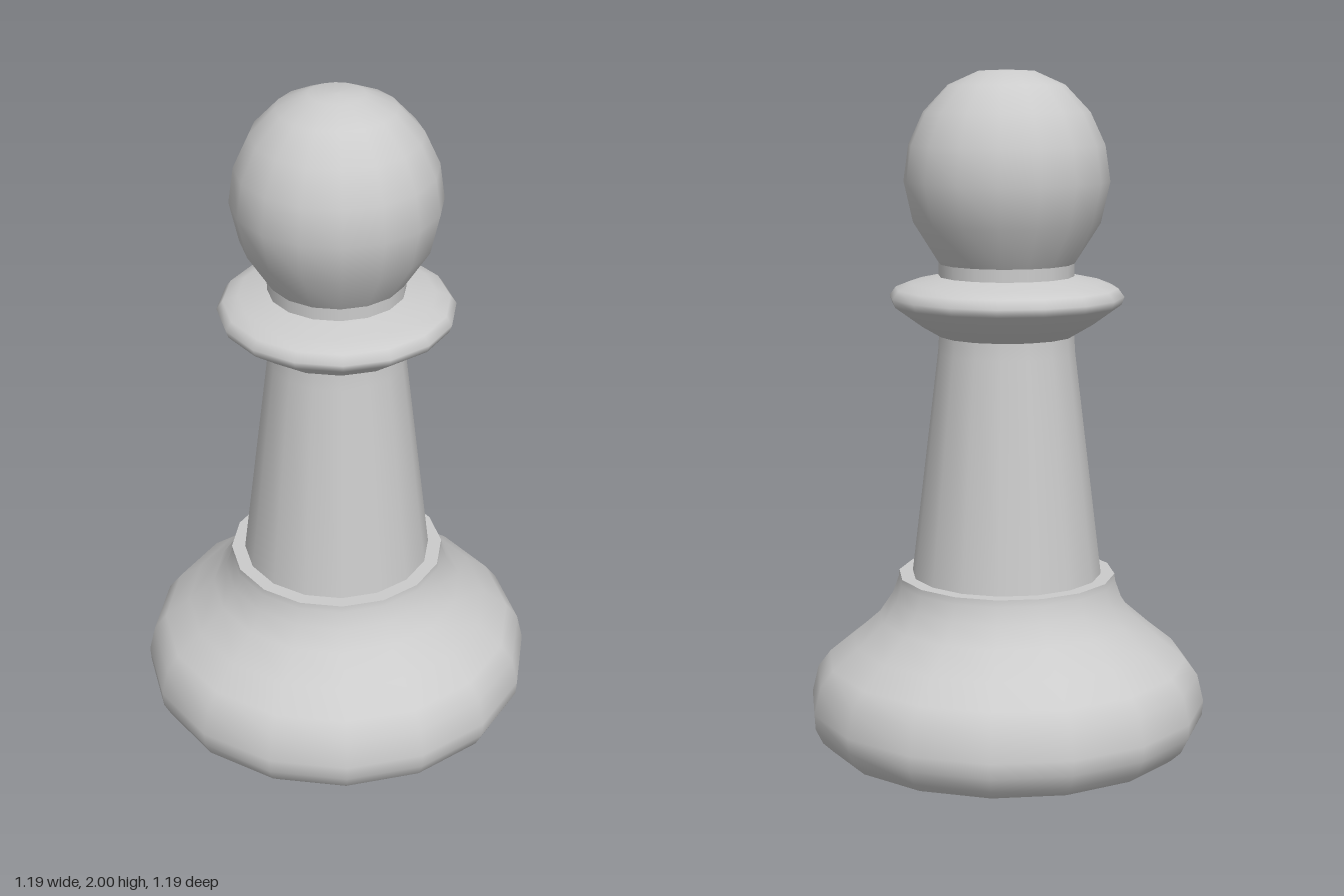
import * as THREE from 'three';

const SIDES = 16;

export function createModel() {
  const pawn = new THREE.Group();
  pawn.name = 'pawn';
  const material = new THREE.MeshStandardMaterial({ color: 0xcccccc });

  // Each part is a smooth turned band; separate bands keep the seams crisp.
  const turn = (name, profile) => {
    const points = profile.map(([r, y]) => new THREE.Vector2(r, y));
    const mesh = new THREE.Mesh(new THREE.LatheGeometry(points, SIDES), material);
    mesh.name = name;
    pawn.add(mesh);
  };

  // Foot: flat underside, bulging flank and the small ledge around the stem
  turn('underside', [[0, 0], [0.54, 0]]);
  turn('base', [
    [0.54, 0], [0.572, 0.03], [0.594, 0.075], [0.597, 0.12], [0.578, 0.2],
    [0.54, 0.25], [0.465, 0.31], [0.385, 0.38], [0.345, 0.44], [0.327, 0.49], [0.325, 0.51],
  ]);
  turn('baseLedge', [[0.325, 0.51], [0.284, 0.51]]);

  // Tapered stem with a short straight top
  turn('stem', [[0.284, 0.51], [0.203, 1.18], [0.2, 1.23]]);

  // Flared collar and neck
  turn('collar', [
    [0.2, 1.23], [0.255, 1.262], [0.338, 1.322], [0.346, 1.345],
    [0.328, 1.37], [0.285, 1.387], [0.2, 1.405],
  ]);
  turn('neck', [[0.2, 1.405], [0.2, 1.442]]);

  // Round head
  turn('head', [
    [0.2, 1.442], [0.275, 1.56], [0.302, 1.68], [0.287, 1.785],
    [0.243, 1.88], [0.17, 1.957], [0.08, 1.997], [0, 2],
  ]);

  return pawn;
}
